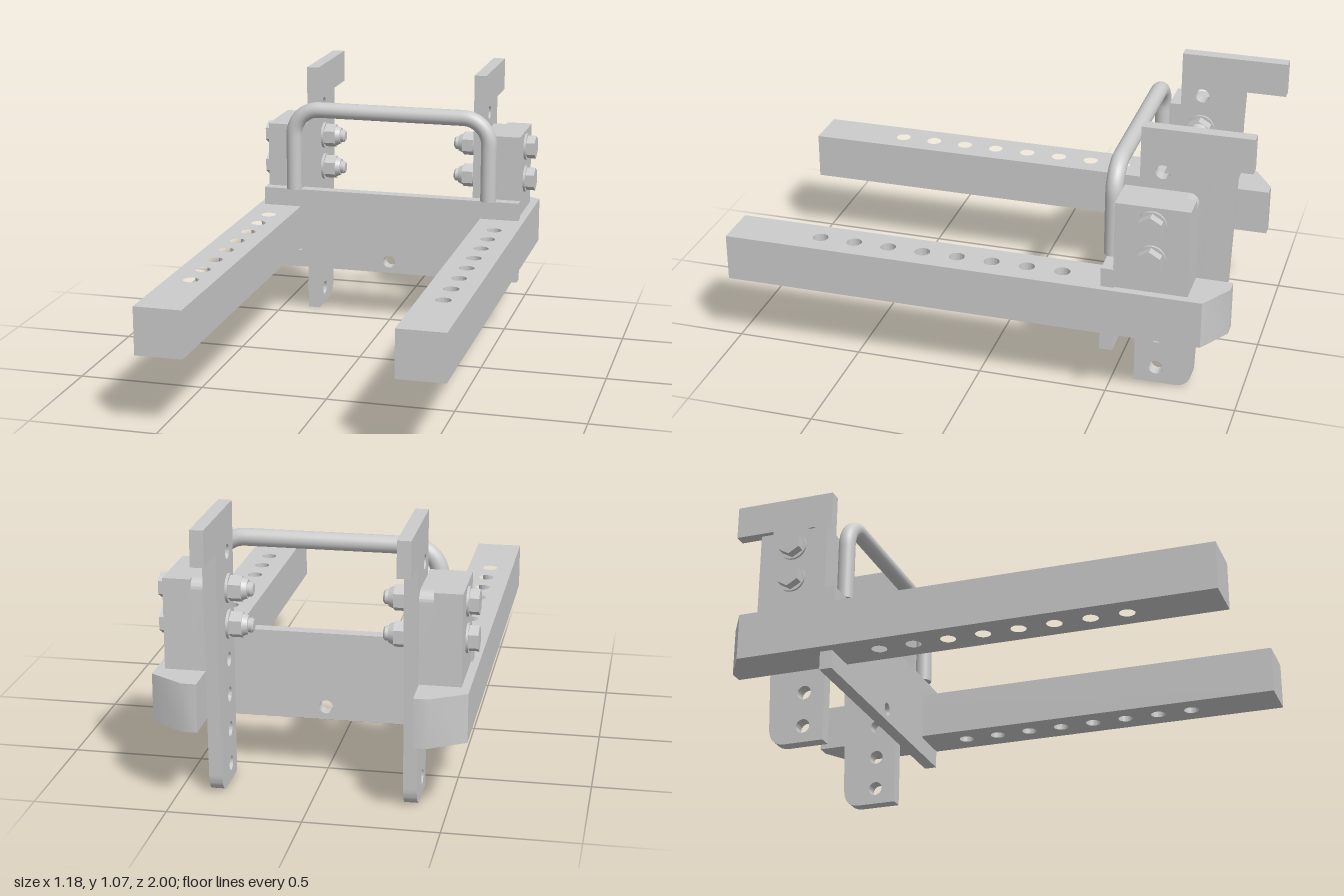
import * as THREE from 'three';
import { toCreasedNormals } from 'three/addons/utils/BufferGeometryUtils.js';

const smooth = new THREE.MeshStandardMaterial({ color: 0xcccccc });
const faceted = new THREE.MeshStandardMaterial({ color: 0xcccccc, flatShading: true });

function add(parent, name, geometry, material = smooth) {
  const mesh = new THREE.Mesh(geometry, material);
  mesh.name = name;
  parent.add(mesh);
  return mesh;
}

function drill(shape, x, y, r) {
  shape.holes.push(new THREE.Path().absarc(x, y, r, 0, Math.PI * 2, true));
}

function extrude(shape, depth) {
  const g = new THREE.ExtrudeGeometry(shape, { depth, bevelEnabled: false, curveSegments: 16 });
  return toCreasedNormals(g, 0.6);
}

const polygon = (points) => new THREE.Shape(points.map(([x, y]) => new THREE.Vector2(x, y)));

// Side profile drawn as (-z, y), extruded over an x range on side s
function sidePlate(shape, x0, x1, s) {
  const g = extrude(shape, x1 - x0).rotateY(Math.PI / 2);
  return g.translate(s > 0 ? x0 : -x1, 0, 0);
}

// Cylinder lying along x between two distances from the centre, on side s
function rod(x0, x1, rInner, rOuter, sides, s) {
  const g = new THREE.CylinderGeometry(rOuter, rInner, x1 - x0, sides);
  return g.rotateY(Math.PI / 2).rotateZ(-s * Math.PI / 2).translate(s * (x0 + x1) / 2, 0, 0);
}

function buildRail(s) {
  // Plan outline drawn as (x, -z)
  const plan = polygon([[0.39, -1], [0.575, -1], [0.575, 0.87], [0.445, 0.95], [0.39, 0.95]]
    .map(([x, y]) => [s * x, y]));
  for (let i = 0; i < 8; i++) drill(plan, s * 0.482, 0.322 - i * 0.138, 0.03);
  return extrude(plan, 0.185).rotateX(-Math.PI / 2).translate(0, 0.295, 0);
}

function buildHanger(s) {
  const p = new THREE.Shape();
  p.moveTo(0.585, 0);
  p.lineTo(0.74, 0);
  p.quadraticCurveTo(0.808, 0, 0.81, 0.075);
  p.lineTo(0.84, 0.93);
  p.lineTo(1, 0.93);
  p.lineTo(1, 1.065);
  p.lineTo(0.585, 1.065);
  p.closePath();
  for (let i = 0; i < 7; i++) drill(p, 0.67, 0.066 + i * 0.138, 0.028);
  return sidePlate(p, 0.337, 0.387, s);
}

function buildBracket(s) {
  const group = new THREE.Group();
  group.name = 'bracket';
  const block = polygon([[0.53, 0.48], [0.81, 0.48], [0.81, 0.825], [0.53, 0.825]]);
  add(group, 'bracketBlock', sidePlate(block, 0.44, 0.543, s));
  // Inner half has a rounded upper rear corner
  const inner = new THREE.Shape();
  inner.moveTo(0.53, 0.48);
  inner.lineTo(0.81, 0.48);
  inner.lineTo(0.81, 0.785);
  inner.absarc(0.77, 0.785, 0.04, 0, Math.PI / 2, false);
  inner.lineTo(0.53, 0.825);
  add(group, 'bracketInner', sidePlate(inner, 0.387, 0.44, s));
  return group;
}

function buildBolt(s) {
  const group = new THREE.Group();
  group.name = 'bolt';
  add(group, 'headWasher', rod(0.543, 0.552, 0.055, 0.055, 32, s));
  add(group, 'head', rod(0.552, 0.588, 0.049, 0.049, 6, s), faceted);
  add(group, 'nutWasher', rod(0.327, 0.337, 0.055, 0.055, 32, s));
  add(group, 'nut', rod(0.28, 0.327, 0.05, 0.05, 6, s), faceted);
  add(group, 'nutCollar', rod(0.26, 0.28, 0.034, 0.042, 32, s));
  add(group, 'shank', rod(0.247, 0.545, 0.027, 0.027, 24, s));
  add(group, 'shankTip', rod(0.24, 0.247, 0.02, 0.027, 24, s));
  return group;
}

function buildCrossPlate() {
  // Notched at both ends around the rails
  const half = [[0.55, 0.213], [0.55, 0.286], [0.388, 0.286], [0.388, 0.48], [0.55, 0.48], [0.55, 0.555]];
  const plate = polygon([...half, ...half.map(([x, y]) => [-x, y]).reverse()]);
  drill(plate, 0, 0.263, 0.026);
  return extrude(plate, 0.05).translate(0, 0, -0.535);
}

function buildHandle() {
  const group = new THREE.Group();
  group.name = 'handle';
  const X = 0.42, top = 0.902, base = 0.555, r = 0.11, z = -0.498;
  const v = (x, y) => new THREE.Vector3(x, y, z);
  const path = new THREE.CurvePath();
  path.add(new THREE.LineCurve3(v(-X, base), v(-X, top - r)));
  const bend = (s) => {
    const pts = [];
    for (let i = 0; i <= 10; i++) {
      const a = (i / 10) * Math.PI / 2;
      pts.push(v(s * (X - r + r * Math.cos(a)), top - r + r * Math.sin(a)));
    }
    return new THREE.CatmullRomCurve3(s < 0 ? pts : pts.reverse());
  };
  path.add(bend(-1));
  path.add(new THREE.LineCurve3(v(-X + r, top), v(X - r, top)));
  path.add(bend(1));
  path.add(new THREE.LineCurve3(v(X, top - r), v(X, base)));
  add(group, 'handleBar', new THREE.TubeGeometry(path, 120, 0.033, 24, false));
  for (const s of [-1, 1]) {
    const cap = new THREE.CircleGeometry(0.033, 24).rotateX(Math.PI / 2);
    add(group, 'handleEnd', cap.translate(s * X, base, z));
  }
  return group;
}

export function createModel() {
  const model = new THREE.Group();
  model.name = 'forkFrame';
  add(model, 'crossPlate', buildCrossPlate());
  model.add(buildHandle());
  for (const s of [-1, 1]) {
    const side = new THREE.Group();
    side.name = s > 0 ? 'leftSide' : 'rightSide';
    add(side, 'rail', buildRail(s));
    add(side, 'hangerPlate', buildHanger(s));
    side.add(buildBracket(s));
    for (const y of [0.618, 0.756]) {
      const bolt = buildBolt(s);
      bolt.position.set(0, y, -0.67);
      side.add(bolt);
    }
    model.add(side);
  }
  return model;
}
